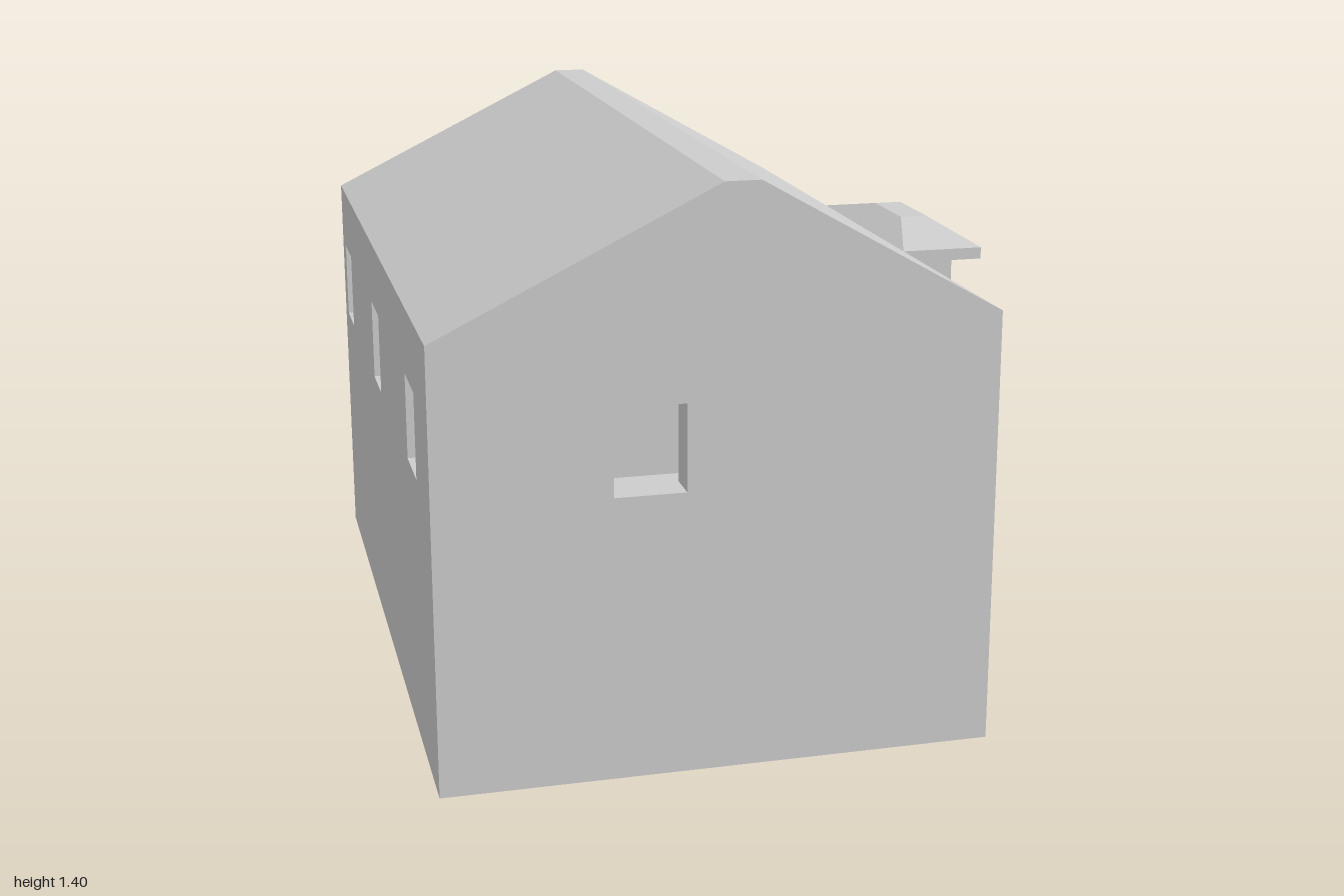
import * as THREE from 'three';

const material = new THREE.MeshStandardMaterial({ color: 0xcccccc, flatShading: true, side: THREE.DoubleSide });

// House dimensions
const X0 = -0.84, X1 = 0.495, Z = 1, EAVE = 1.07, RIDGE = 1.4;
const T = 0.083, FLOOR = 0.485, CEIL = 0.99;
const PARTITION = [0.17, 0.25]; // z faces of the wall between the two rooms
const DOOR = { z0: -0.165, z1: 0.085, top: 0.92 };
const PORCH = { x: 0.66, z: 0.25, top: 1.04 };

const rect = (u0, v0, u1, v1) => [[u0, v0], [u1, v0], [u1, v1], [u0, v1]];
const windowAt = (u) => rect(u, 0.69, u + 0.17, 0.9);

function named(geometry, name) {
  const mesh = new THREE.Mesh(geometry, material);
  mesh.name = name;
  return mesh;
}

// Skin joining consecutive rings of 3D points
function loft(name, rings, closed = false) {
  const pos = [];
  for (let r = 0; r < rings.length - 1; r++) {
    const a = rings[r], b = rings[r + 1], n = a.length;
    for (let i = 0; i < (closed ? n : n - 1); i++) {
      const j = (i + 1) % n;
      pos.push(...a[i], ...a[j], ...b[j], ...a[i], ...b[j], ...b[i]);
    }
  }
  const geometry = new THREE.BufferGeometry();
  geometry.setAttribute('position', new THREE.Float32BufferAttribute(pos, 3));
  geometry.computeVertexNormals();
  return named(geometry, name);
}

// Flat panel with openings, at depth d along local z
function sheet(name, outline, openings = [], d = 0) {
  const toVec = (pts) => pts.map(([u, v]) => new THREE.Vector2(u, v));
  const shape = new THREE.Shape(toVec(outline));
  openings.forEach((o) => shape.holes.push(new THREE.Path(toVec(o))));
  return named(new THREE.ShapeGeometry(shape).translate(0, 0, d), name);
}

// Outer skin, inner room linings and window reveals of one wall facing local +z
function wall(name, angle, dist, outline, rooms, windows, doors = []) {
  const group = new THREE.Group();
  group.name = name;
  group.rotation.y = angle;
  group.add(sheet(name + 'Outside', outline, windows, dist));
  for (const [u0, u1] of rooms) {
    const inside = [...windows, ...doors].filter((o) => o[0][0] > u0 && o[1][0] < u1);
    group.add(sheet(name + 'Lining', rect(u0, FLOOR, u1, CEIL), inside, dist - T));
  }
  for (const o of windows) {
    const ring = (d) => o.map(([u, v]) => [u, v, d]);
    group.add(loft('windowReveal', [ring(dist - T), ring(dist)], true));
  }
  return group;
}

export function createModel() {
  const house = new THREE.Group();
  house.name = 'house';
  const roofLine = [[X0, EAVE], [-0.17, RIDGE], [-0.085, RIDGE], [X1, EAVE]];
  const roomSpans = [[-Z + T, PARTITION[0]], [PARTITION[1], Z - T]];
  const mirror = (pts) => pts.map(([u, v]) => [-u, v]);

  // Gable walls
  const gable = [[X1, 0], [X1, EAVE], ...roofLine.slice(1, 3).reverse(), [X0, EAVE], [X0, 0]];
  house.add(wall('frontWall', 0, Z, gable, [[X0 + T, X1 - T]], [windowAt(-0.425)]));
  house.add(wall('backWall', Math.PI, Z, mirror(gable), [[-X1 + T, -X0 - T]], [windowAt(-0.33)]));

  // Long walls; the porch side is open behind the porch
  house.add(wall('windowSideWall', -Math.PI / 2, -X0, rect(-Z, 0, Z, EAVE), roomSpans,
    [-0.92, -0.165, 0.59].map(windowAt)));
  const { z: pz, top: pt } = PORCH;
  const porchSide = [[-Z, 0], [-pz, 0], [-pz, pt], [pz, pt], [pz, 0], [Z, 0], [Z, EAVE], [-Z, EAVE]];
  house.add(wall('porchSideWall', Math.PI / 2, X1, porchSide,
    roomSpans.map(([a, b]) => [-b, -a]), [windowAt(-0.505)],
    [rect(-DOOR.z1, FLOOR + 0.001, -DOOR.z0, DOOR.top)]));

  // Roof
  house.add(loft('roof', [Z, -Z].map((z) => roofLine.map(([x, y]) => [x, y, z]))));

  // Room floors, ceilings and the partition faces
  roomSpans.forEach(([z0, z1], i) => {
    for (const [name, y] of [['floor', FLOOR], ['ceiling', CEIL]]) {
      house.add(loft(name, [z1, z0].map((z) => [[X0 + T, y, z], [X1 - T, y, z]])));
    }
    house.add(sheet('partition', rect(X0 + T, FLOOR, X1 - T, CEIL), [], PARTITION[i]));
  });

  // Porch walls with a doorway that runs down behind the steps
  const porch = new THREE.Group();
  porch.name = 'porch';
  const { z0, z1, top } = DOOR;
  const porchFront = sheet('porchFront', [[-pz, 0], [-z1, 0], [-z1, top], [-z0, top], [-z0, 0],
    [pz, 0], [pz, pt], [-pz, pt]], [], PORCH.x);
  porchFront.rotation.y = Math.PI / 2;
  porch.add(porchFront);
  for (const z of [-pz, pz]) porch.add(sheet('porchSide', rect(X1, 0, PORCH.x, pt), [], z));
  porch.add(loft('doorReveal', [X1 - T, PORCH.x].map((x) =>
    [[x, FLOOR, z0], [x, top, z0], [x, top, z1], [x, FLOOR, z1]])));

  // Hipped porch roof
  const roofRing = (y, x0, x1, z) => [[x0, y, z], [x1, y, z], [x1, y, -z], [x0, y, -z]];
  porch.add(loft('porchRoof', [
    roofRing(1.04, 0.6, 0.6, 0), roofRing(1.04, X1, 0.71, 0.33), roofRing(EAVE, X1, 0.71, 0.33),
    roofRing(1.115, 0.567, 0.64, 0.105), roofRing(1.115, 0.6, 0.6, 0),
  ], true));

  // Steps, hollow below, with the top tread running on as the doorway floor
  const treads = [[0.71, FLOOR], [0.71, 0.44], [0.765, 0.44], [0.765, 0.39], [0.835, 0.39], [0.835, 0]];
  porch.add(loft('stepTreads', [z1, z0].map((z) =>
    [[X1 - T, FLOOR], ...treads].map(([x, y]) => [x, y, z]))));
  for (const z of [z0, z1]) {
    porch.add(sheet('stepSide', [[PORCH.x, 0], [PORCH.x, FLOOR], ...treads], [], z));
  }
  house.add(porch);
  return house;
}
